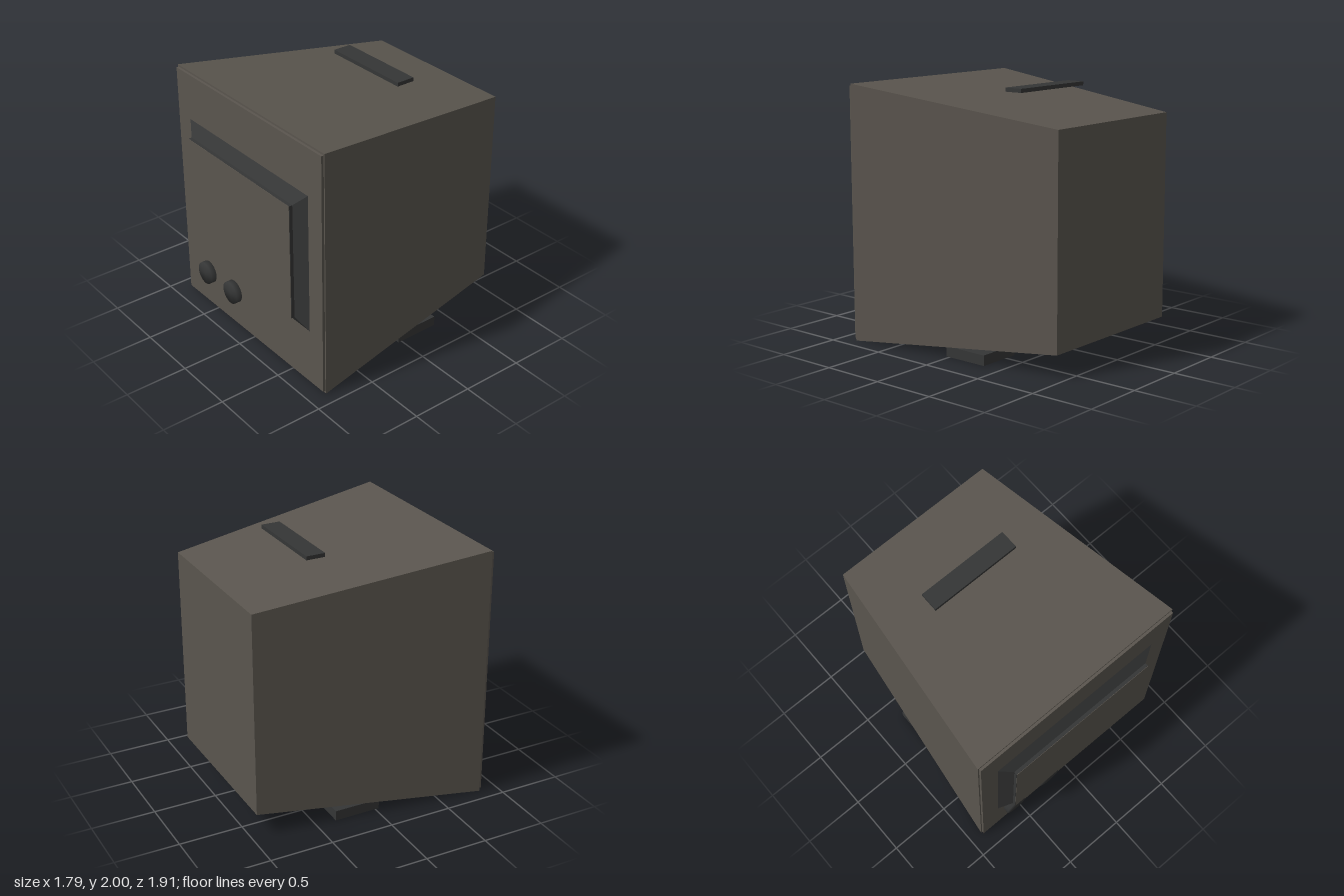
import * as THREE from 'three';
import { mergeVertices } from 'three/addons/utils/BufferGeometryUtils.js';

const casing = new THREE.MeshStandardMaterial({ color: 0x5a554e });
casing.name = 'warmGreyCasing';
const trim = new THREE.MeshStandardMaterial({ color: 0x353636 });
trim.name = 'charcoalTrim';

// Box given by its limits along each axis
function box(name, material, [x0, x1], [y0, y1], [z0, z1]) {
  const mesh = new THREE.Mesh(new THREE.BoxGeometry(x1 - x0, y1 - y0, z1 - z0), material);
  mesh.position.set((x0 + x1) / 2, (y0 + y1) / 2, (z0 + z1) / 2);
  mesh.name = name;
  return mesh;
}

// Box whose front and back rectangles differ; each is { w, y0, y1, z }
function taperedBox(name, material, front, back) {
  const geometry = new THREE.BoxGeometry(1, 1, 1);
  const p = geometry.attributes.position;
  for (let i = 0; i < p.count; i++) {
    const end = p.getZ(i) > 0 ? front : back;
    p.setXYZ(i, p.getX(i) * end.w, p.getY(i) > 0 ? end.y1 : end.y0, end.z);
  }
  geometry.computeVertexNormals();
  const mesh = new THREE.Mesh(geometry, material);
  mesh.name = name;
  return mesh;
}

// Short round knob with normals smoothed across its rim
function knob(name, x) {
  let geometry = new THREE.CylinderGeometry(0.092, 0.092, 0.067, 32);
  geometry.deleteAttribute('uv');
  geometry.deleteAttribute('normal');
  geometry = mergeVertices(geometry);
  geometry.rotateX(Math.PI / 2);
  geometry.computeVertexNormals();
  const mesh = new THREE.Mesh(geometry, trim);
  mesh.position.set(x, 0.315, 0.884);
  mesh.name = name;
  return mesh;
}

export function createModel() {
  const model = new THREE.Group();
  model.name = 'monitor';

  // Casing narrowing to the back, with a thin front panel
  model.add(taperedBox('casing', casing,
    { w: 1.79, y0: 0, y1: 2, z: 0.85 },
    { w: 1.33, y0: 0.18, y1: 1.78, z: -0.95 }));
  model.add(box('frontPanel', casing, [-0.885, 0.885], [0.02, 1.985], [0.84, 0.87]));

  // Sloped bezel, raised rim and screen
  model.add(taperedBox('bezel', trim,
    { w: 1.265, y0: 0.575, y1: 1.515, z: 0.93 },
    { w: 1.47, y0: 0.475, y1: 1.615, z: 0.868 }));
  model.add(box('screenRim', trim, [-0.632, 0.632], [0.575, 1.515], [0.92, 0.956]));
  model.add(box('screen', casing, [-0.63, 0.63], [0.577, 1.513], [0.953, 0.959]));

  // Control knobs
  model.add(knob('rightKnob', -0.58), knob('leftKnob', -0.23));

  // Bar hovering above the top
  model.add(box('topBar', trim, [-0.373, 0.373], [1.97, 2], [-0.38, -0.23]));

  // Pair of feet
  for (const [name, x] of [['leftFoot', 0.575], ['rightFoot', -0.575]]) {
    model.add(box(name, trim, [x - 0.175, x + 0.175], [0, 0.08], [-0.34, 0.03]));
  }
  return model;
}
